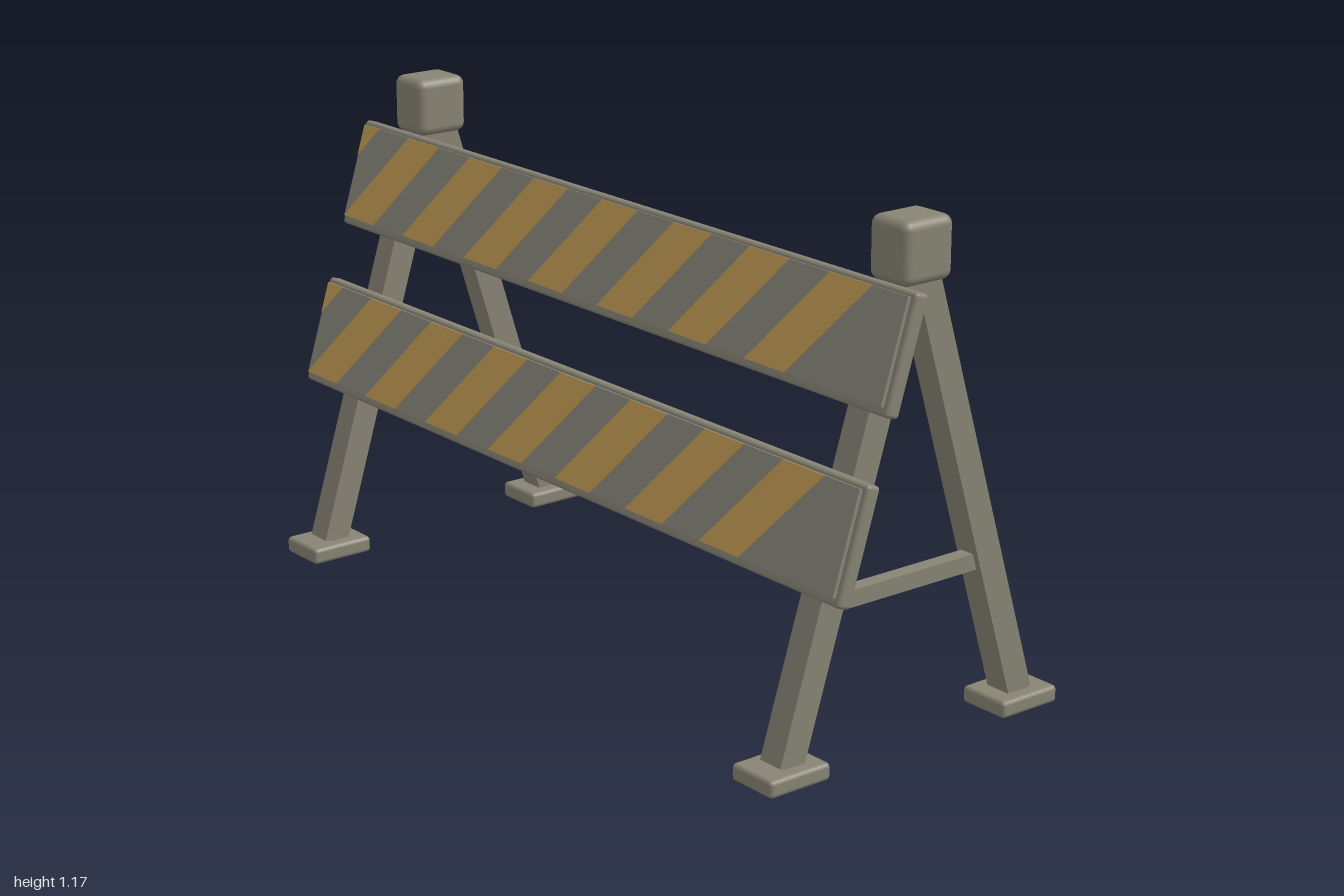
import * as THREE from 'three';
import { RoundedBoxGeometry } from 'three/addons/geometries/RoundedBoxGeometry.js';

const TILT = Math.atan(0.31);
const HALF_W = 0.985, HALF_H = 0.115; // striped panel half size

// Cut a convex polygon at x = limit, keeping the side towards the centre
function clipX(points, limit) {
  const inside = (p) => (limit > 0 ? p[0] <= limit : p[0] >= limit);
  const out = [];
  points.forEach((a, i) => {
    const b = points[(i + 1) % points.length];
    if (inside(a)) out.push(a);
    if (inside(a) !== inside(b)) {
      const t = (limit - a[0]) / (b[0] - a[0]);
      out.push([limit, a[1] + t * (b[1] - a[1])]);
    }
  });
  return out;
}

export function createModel() {
  const metal = new THREE.MeshStandardMaterial({ name: 'grey metal', color: 0x878374 });
  const panelGrey = new THREE.MeshStandardMaterial({ name: 'panel grey', color: 0x88867c });
  const yellow = new THREE.MeshStandardMaterial({ name: 'stripe yellow', color: 0xc49d55 });

  const model = new THREE.Group();
  model.name = 'barricade';

  const add = (parent, name, geometry, material, x, y, z) => {
    const mesh = new THREE.Mesh(geometry, material);
    mesh.name = name;
    mesh.position.set(x, y, z);
    parent.add(mesh);
    return mesh;
  };

  // A-frame trestles at both ends
  const capGeo = new RoundedBoxGeometry(0.118, 0.14, 0.138, 3, 0.022);
  const footGeo = new RoundedBoxGeometry(0.13, 0.04, 0.165, 2, 0.01);
  const legGeo = new THREE.BoxGeometry(0.065, 1.09, 0.066);
  const braceGeo = new THREE.BoxGeometry(0.036, 0.038, 0.42);
  for (const side of [-1, 1]) {
    const frame = new THREE.Group();
    frame.name = side > 0 ? 'leftFrame' : 'rightFrame';
    frame.position.x = side * 0.867;
    model.add(frame);
    add(frame, 'cap', capGeo, metal, 0, 1.1, 0);
    add(frame, 'brace', braceGeo, metal, 0, 0.369, 0);
    for (const s of [1, -1]) {
      const end = s > 0 ? 'front' : 'back';
      add(frame, end + 'Foot', footGeo, metal, 0, 0.02, s * 0.333);
      const leg = add(frame, end + 'Leg', legGeo, metal, 0, 0.555, s * 0.31 * (1.105 - 0.555));
      leg.rotation.x = -s * TILT;
    }
  }

  // Slanted warning stripes, cut off at the panel ends
  const stripeGeos = [];
  for (let k = 0; k < 8; k++) {
    const right = -0.92 + k * 0.257, width = 0.13, slant = 0.192;
    let pts = [
      [right - slant - width, -HALF_H], [right - slant, -HALF_H],
      [right, HALF_H], [right - width, HALF_H],
    ];
    pts = clipX(clipX(pts, -HALF_W), HALF_W);
    const shape = new THREE.Shape(pts.map(([x, y]) => new THREE.Vector2(x, y)));
    stripeGeos.push(new THREE.ExtrudeGeometry(shape, { depth: 0.004, bevelEnabled: false }));
  }

  // Two tilted boards, each with a grey panel and yellow stripes
  const slabGeo = new RoundedBoxGeometry(2, 0.262, 0.036, 2, 0.009);
  const panelGeo = new THREE.BoxGeometry(2 * HALF_W, 2 * HALF_H, 0.012);
  for (const [name, y, z] of [['upperBoard', 0.918, 0.125], ['lowerBoard', 0.535, 0.245]]) {
    const board = new THREE.Group();
    board.name = name;
    board.position.set(0, y, z);
    board.rotation.x = -TILT;
    model.add(board);
    add(board, 'slab', slabGeo, metal, 0, 0, 0);
    add(board, 'panel', panelGeo, panelGrey, 0, 0.004, 0.021);
    stripeGeos.forEach((geo) => add(board, 'stripe', geo, yellow, 0, 0.004, 0.0245));
  }
  return model;
}
